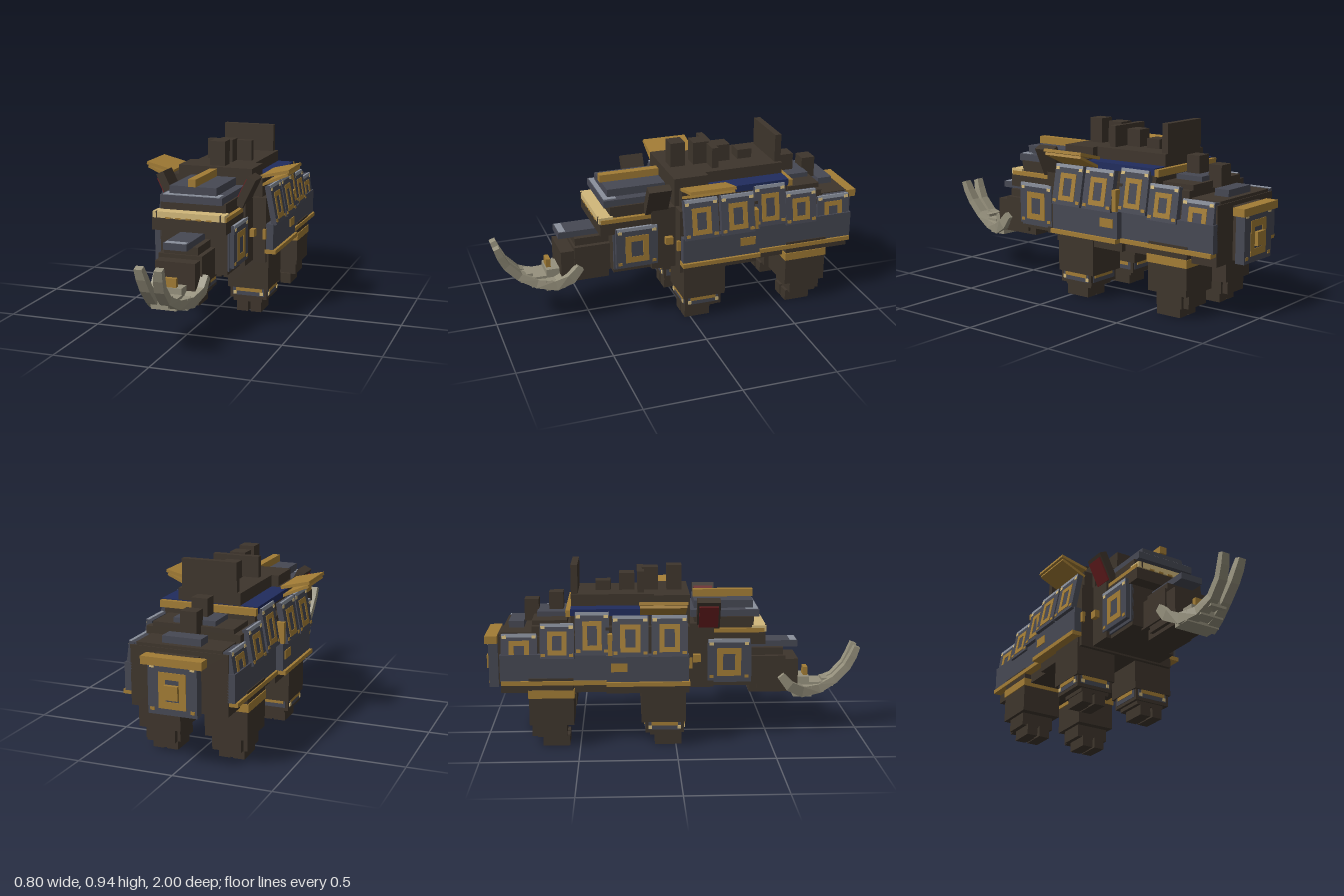
import * as THREE from 'three';

const mat = (name, color, side = THREE.FrontSide) => {
  const m = new THREE.MeshStandardMaterial({ color, flatShading: true, side });
  m.name = name;
  return m;
};

export function createModel() {
  const hide = mat('hide brown', 0x3e352c), slate = mat('slate armour', 0x464853), gold = mat('gold', 0xa27c35);
  const cream = mat('pale gold', 0xd2b87a), navy = mat('navy cloth', 0x202c5e), red = mat('dark red', 0x6e2022);
  const bone = mat('tusk bone', 0x96917d, THREE.DoubleSide), steel = mat('steel trim', 0x8a909c);
  const root = new THREE.Group();
  root.name = 'armouredBeast';

  // box from its extents
  const box = (name, m, x0, x1, y0, y1, z0, z1, parent = root) => {
    const b = new THREE.Mesh(new THREE.BoxGeometry(x1 - x0, y1 - y0, z1 - z0), m);
    b.position.set((x0 + x1) / 2, (y0 + y1) / 2, (z0 + z1) / 2);
    b.name = name;
    parent.add(b);
    return b;
  };
  // box centred on x = 0
  const mid = (name, m, w, y0, y1, z0, z1) => box(name, m, -w, w, y0, y1, z0, z1);
  // the same box on both sides, with an optional roll about z
  const pair = (name, m, x0, x1, y0, y1, z0, z1, roll = 0) => {
    box(name, m, x0, x1, y0, y1, z0, z1).rotation.z = roll;
    box(name, m, -x1, -x0, y0, y1, z0, z1).rotation.z = -roll;
  };

  // flat rectangular frame facing +z
  const frame = (w, h, t) => {
    const s = new THREE.Shape(), p = new THREE.Path();
    const rect = (o, a, b) => o.moveTo(-a, -b).lineTo(a, -b).lineTo(a, b).lineTo(-a, b).closePath();
    rect(s, w / 2, h / 2);
    rect(p, w / 2 - t, h / 2 - t);
    s.holes.push(p);
    return new THREE.ExtrudeGeometry(s, { depth: 0.003, bevelEnabled: false });
  };

  // armour plate with gold frame, corner studs and steel upper edge, facing +z
  const plate = (name, w, h, d = 0.03) => {
    const g = new THREE.Group(), f = d / 2;
    g.name = name;
    box('plateBase', slate, -w / 2, w / 2, -h / 2, h / 2, -f, f, g);
    const ring = new THREE.Mesh(frame(w * 0.56, h * 0.68, w * 0.14), gold);
    ring.name = 'goldFrame';
    ring.position.set(0, -0.01, f);
    g.add(ring);
    box('steelEdge', steel, -w * 0.48, w * 0.48, h / 2 - 0.016, h / 2 + 0.002, f - 0.012, f + 0.002, g);
    for (const sx of [-1, 1]) for (const sy of [-1, 1]) {
      const x = sx * w * 0.41, y = sy * h * 0.4;
      box('cornerStud', sy > 0 ? cream : gold, x - 0.011, x + 0.011, y - 0.008, y + 0.008, f, f + 0.003, g);
    }
    return g;
  };
  const sidePlates = (name, x, y, z, w, h, tilt) => {
    for (const s of [1, -1]) {
      const p = plate(name, w, h);
      p.position.set(s * x, y, z);
      p.rotation.set(-tilt, s * Math.PI / 2, 0, 'YXZ');
      root.add(p);
    }
  };

  // trunk of the body, stepped along the back
  mid('chest', hide, 0.28, 0.29, 0.64, -0.36, 0.07);
  mid('rearBody', hide, 0.25, 0.29, 0.59, -0.905, -0.36);
  mid('tailBlock', hide, 0.11, 0.3, 0.57, -0.935, -0.9);
  mid('shoulderHump', hide, 0.205, 0.6, 0.79, -0.11, 0.075);
  mid('backHump', hide, 0.165, 0.6, 0.79, -0.54, -0.11);
  mid('loin', hide, 0.245, 0.55, 0.64, -0.74, -0.54);
  mid('neck', hide, 0.21, 0.3, 0.64, 0.06, 0.2);
  mid('navyCloth', navy, 0.255, 0.695, 0.73, -0.54, -0.11);
  mid('shoulderYoke', hide, 0.255, 0.6, 0.735, -0.11, 0.05);
  mid('clothBacking', hide, 0.24, 0.6, 0.7, -0.54, -0.11);
  mid('clothTrim', gold, 0.255, 0.69, 0.725, -0.565, -0.54);
  mid('loinStep', hide, 0.21, 0.6, 0.665, -0.74, -0.56);
  mid('loinRidge', slate, 0.11, 0.62, 0.69, -0.72, -0.57);
  mid('rumpStep', hide, 0.22, 0.57, 0.605, -0.9, -0.74);
  mid('rumpRidge', slate, 0.1, 0.6, 0.64, -0.87, -0.79);
  pair('rumpEdge', slate, 0.205, 0.248, 0.57, 0.6, -0.895, -0.76);

  // crest plates and spine blocks
  mid('tallCrest', hide, 0.145, 0.7, 0.94, -0.54, -0.505);
  mid('wideCrest', hide, 0.125, 0.77, 0.9, -0.195, -0.16);
  for (const [z0, z1, y0, y1] of [[-0.04, 0.04, 0.78, 0.92], [-0.17, -0.085, 0.78, 0.91], [-0.29, -0.21, 0.78, 0.88],
    [-0.415, -0.335, 0.78, 0.84], [-0.66, -0.585, 0.67, 0.78], [-0.79, -0.715, 0.63, 0.745]])
    mid('spineBlock', hide, 0.042, y0, y1, z0, z1);

  // side skirts with gold trim
  pair('frontSkirt', slate, 0.28, 0.32, 0.36, 0.5, -0.36, 0.065);
  pair('frontSkirtTrim', gold, 0.275, 0.335, 0.34, 0.362, -0.36, 0.07);
  pair('rearSkirt', slate, 0.245, 0.283, 0.36, 0.5, -0.905, -0.36);
  pair('rearSkirtTrim', gold, 0.24, 0.295, 0.34, 0.362, -0.9, -0.36);
  pair('skirtClasp', gold, 0.31, 0.324, 0.415, 0.46, -0.335, -0.25);
  pair('sideClasp', gold, 0.28, 0.322, 0.5, 0.61, -0.35, -0.325);
  pair('chestClasp', gold, 0.268, 0.284, 0.42, 0.475, 0.06, 0.085);
  pair('neckClasp', gold, 0.205, 0.235, 0.44, 0.48, 0.09, 0.13);

  // leaning flank plates
  sidePlates('flankPlate', 0.303, 0.597, -0.035, 0.185, 0.21, 0.19);
  sidePlates('flankPlate', 0.303, 0.597, -0.235, 0.185, 0.21, 0.19);
  sidePlates('flankPlate', 0.268, 0.605, -0.43, 0.175, 0.22, 0.17);
  sidePlates('flankPlate', 0.265, 0.567, -0.61, 0.175, 0.18, 0.17);
  sidePlates('flankPlate', 0.255, 0.53, -0.805, 0.185, 0.145, 0.15);

  // flared shoulder guards, two sheets meeting at the outer edge
  pair('shoulderGuard', gold, 0.243, 0.4, 0.758, 0.774, -0.19, 0.055, 0.24);
  pair('guardUnderside', gold, 0.245, 0.398, 0.728, 0.742, -0.185, 0.05, 0.42);

  // legs
  for (const s of [1, -1]) {
    for (const front of [true, false]) {
      const g = new THREE.Group();
      g.name = front ? 'frontLeg' : 'backLeg';
      root.add(g);
      const part = (n, m, x0, x1, y0, y1, z0, z1) =>
        box(n, m, s > 0 ? x0 : -x1, s > 0 ? x1 : -x0, y0, y1, z0, z1, g);
      if (front) {
        part('thigh', hide, 0.065, 0.29, 0.135, 0.36, -0.18, 0.05);
        part('shin', hide, 0.075, 0.28, 0.075, 0.135, -0.16, 0.04);
        part('shinArmour', slate, 0.09, 0.265, 0.092, 0.134, -0.163, 0.043);
        part('shinArmour', slate, 0.072, 0.283, 0.092, 0.134, -0.145, 0.025);
        part('shinTrim', gold, 0.11, 0.255, 0.115, 0.135, -0.167, 0.047);
        part('shinTrim', gold, 0.069, 0.287, 0.115, 0.135, -0.13, 0.01);
        for (const x of [0.095, 0.242]) part('shinStud', cream, x, x + 0.018, 0.097, 0.115, 0.04, 0.047);
        for (const z of [-0.145, 0.007]) part('shinStud', cream, 0.28, 0.287, 0.097, 0.115, z, z + 0.018);
        part('ankle', hide, 0.09, 0.25, 0.055, 0.08, -0.135, 0.03);
      } else {
        part('thigh', hide, 0.065, 0.288, 0.125, 0.375, -0.76, -0.53);
        part('thighBand', gold, 0.06, 0.293, 0.27, 0.312, -0.763, -0.525);
        part('shin', hide, 0.085, 0.27, 0.055, 0.13, -0.72, -0.57);
        part('heel', hide, 0.1, 0.25, 0.055, 0.13, -0.75, -0.7);
      }
      const [z0, z1] = front ? [-0.11, 0.03] : [-0.695, -0.555];
      part('outerToe', hide, 0.185, 0.245, 0, 0.06, z0, z1);
      part('innerToe', hide, 0.11, 0.172, 0, 0.06, z0, z1);
      part('footPad', hide, 0.12, 0.235, 0.005, 0.06, z0, z1 - 0.06);
    }
  }

  // head with stacked helmet
  mid('head', hide, 0.18, 0.3, 0.58, 0.15, 0.4);
  mid('brow', hide, 0.198, 0.525, 0.588, 0.18, 0.47);
  mid('browTrim', gold, 0.197, 0.588, 0.61, 0.19, 0.465);
  mid('browBand', cream, 0.192, 0.59, 0.622, 0.4, 0.475);
  for (const x of [-0.17, 0.17]) box('browStrap', hide, x - 0.003, x + 0.003, 0.59, 0.624, 0.47, 0.478);
  for (let i = -2; i <= 2; i++) box('browNotch', gold, i * 0.055 - 0.014, i * 0.055 + 0.014, 0.588, 0.596, 0.47, 0.478);
  mid('skullCap', hide, 0.175, 0.61, 0.668, 0.1, 0.41);
  mid('lowerHelmet', slate, 0.165, 0.665, 0.702, 0.08, 0.44);
  mid('helmetEdge', steel, 0.15, 0.702, 0.706, 0.37, 0.435);
  mid('upperHelmet', slate, 0.125, 0.705, 0.746, 0.1, 0.41);
  mid('helmetRidge', gold, 0.02, 0.746, 0.785, 0.1, 0.42);
  pair('cheekSkirt', slate, 0.175, 0.19, 0.32, 0.53, 0.17, 0.4);
  sidePlates('cheekPlate', 0.199, 0.445, 0.28, 0.225, 0.22, 0);

  // ears, each with its lining on the same side
  pair('ear', hide, 0.194, 0.238, 0.612, 0.778, 0.11, 0.23, -0.45);
  box('earLining', red, -0.243, -0.232, 0.615, 0.745, 0.12, 0.22).rotation.z = 0.45;
  box('earLining', red, 0.188, 0.198, 0.635, 0.765, 0.12, 0.22).rotation.z = -0.45;

  // snout
  mid('muzzle', hide, 0.115, 0.29, 0.44, 0.38, 0.59);
  mid('muzzleBridge', hide, 0.09, 0.43, 0.48, 0.38, 0.58);
  mid('nose', hide, 0.105, 0.255, 0.42, 0.44, 0.66);
  mid('chin', hide, 0.085, 0.235, 0.3, 0.4, 0.64);
  mid('noseArmour', slate, 0.062, 0.478, 0.512, 0.4, 0.66);
  mid('noseEdge', steel, 0.055, 0.51, 0.514, 0.62, 0.655);

  // tusk: square section swept along a bent path, mirrored by sign s
  const tusk = (s) => {
    const pts = [[0.118, 0.335, 0.565, 0.025], [0.106, 0.275, 0.615, 0.034], [0.075, 0.235, 0.69, 0.036], [0.048, 0.245, 0.785, 0.03],
      [0.034, 0.29, 0.87, 0.026], [0.036, 0.36, 0.935, 0.025], [0.043, 0.42, 0.965, 0.024], [0.05, 0.472, 0.984, 0.02]];
    const pos = [], idx = [];
    pts.forEach(([x, y, z, r], i) => {
      const a = pts[Math.max(i - 1, 0)], b = pts[Math.min(i + 1, pts.length - 1)];
      const l = Math.hypot(b[1] - a[1], b[2] - a[2]), ny = (b[2] - a[2]) / l, nz = -(b[1] - a[1]) / l;
      for (const [u, v] of [[-1, -1], [1, -1], [1, 1], [-1, 1]])
        pos.push(s * (x + u * r), y + v * ny * r * 0.8, z + v * nz * r * 0.8);
      if (i) for (let k = 0; k < 4; k++) {
        const p = (i - 1) * 4 + k, q = (i - 1) * 4 + (k + 1) % 4;
        idx.push(p, q, p + 4, q, q + 4, p + 4);
      }
    });
    const e = (pts.length - 1) * 4;
    idx.push(0, 2, 1, 0, 3, 2, e, e + 1, e + 2, e, e + 2, e + 3);
    if (s > 0) for (let i = 0; i < idx.length; i += 3) [idx[i], idx[i + 1]] = [idx[i + 1], idx[i]];
    const g = new THREE.BufferGeometry();
    g.setAttribute('position', new THREE.Float32BufferAttribute(pos, 3));
    g.setIndex(idx);
    const flat = g.toNonIndexed();
    flat.computeVertexNormals();
    const m = new THREE.Mesh(flat, bone);
    m.name = s > 0 ? 'leftTusk' : 'rightTusk';
    root.add(m);
  };
  tusk(1);
  tusk(-1);
  mid('tuskBridge', bone, 0.095, 0.207, 0.265, 0.64, 0.74);
  mid('tuskBridgeMiddle', bone, 0.065, 0.222, 0.28, 0.73, 0.81);
  mid('tuskBridgeTip', bone, 0.045, 0.25, 0.295, 0.8, 0.865);
  mid('tuskSaddle', bone, 0.06, 0.25, 0.31, 0.655, 0.73);
  mid('tuskClasp', gold, 0.03, 0.305, 0.355, 0.7, 0.724);

  // rump plate under a gold bar
  mid('rumpBar', gold, 0.155, 0.53, 0.57, -0.995, -0.93);
  const rear = plate('rumpPlate', 0.25, 0.26, 0.05);
  rear.position.set(0, 0.42, -0.955);
  rear.rotation.y = Math.PI;
  root.add(rear);
  mid('rumpBoss', gold, 0.035, 0.37, 0.44, -1, -0.97);
  return root;
}
